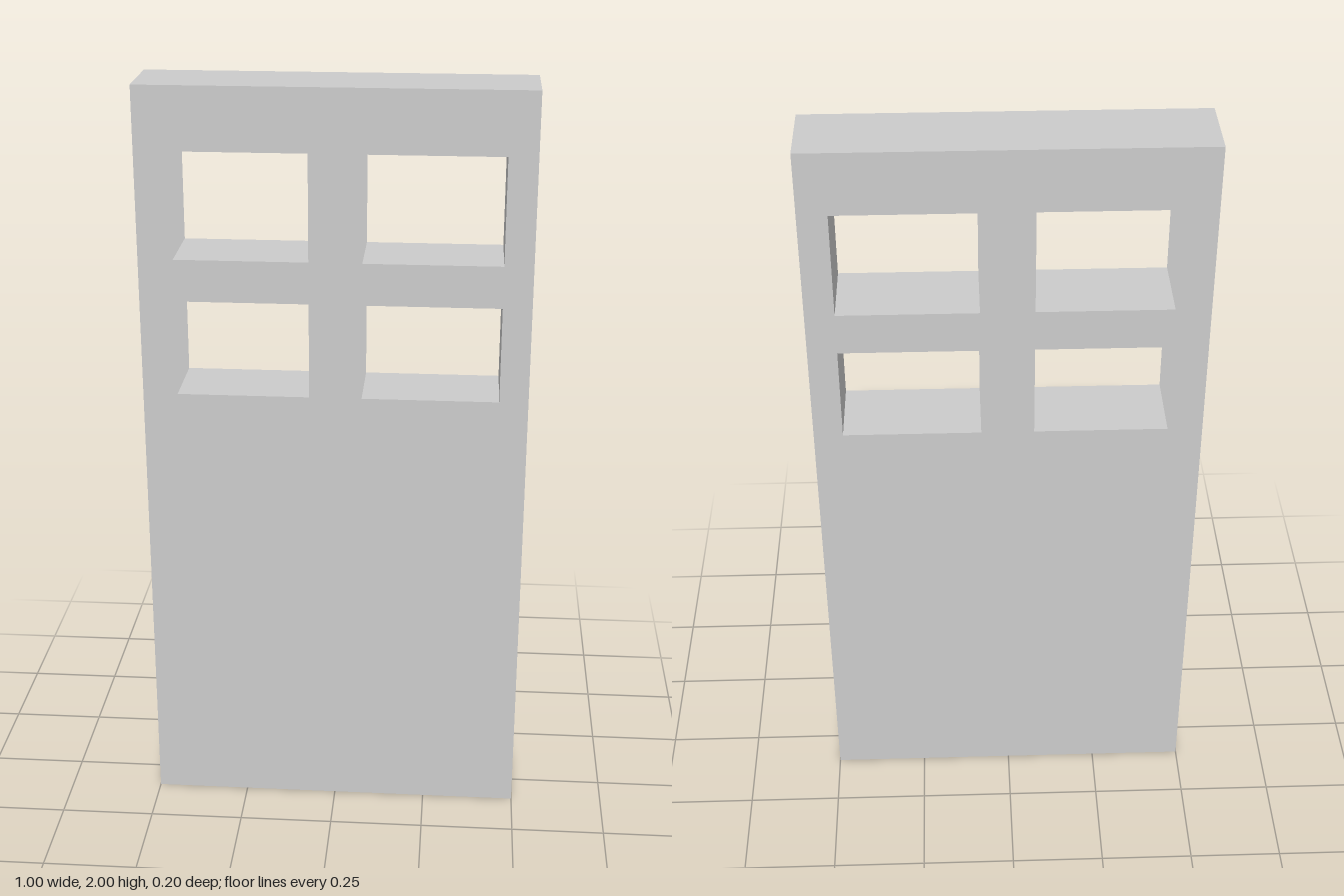
import * as THREE from 'three';

const W = 1, H = 2, D = 0.2;
const columns = [[-0.41, -0.066], [0.07, 0.425]];
const rows = [[1.198, 1.45], [1.56, 1.837]];
const windows = columns.flatMap(([x0, x1]) => rows.map(([y0, y1]) => ({ x0, x1, y0, y1 })));

const rectangle = (Type, x0, x1, y0, y1) => new Type([
  new THREE.Vector2(x0, y0), new THREE.Vector2(x1, y0),
  new THREE.Vector2(x1, y1), new THREE.Vector2(x0, y1),
]);

// Door face with the four window openings; the back one is mirrored, then turned round
function panel(back) {
  const shape = rectangle(THREE.Shape, -W / 2, W / 2, 0, H);
  for (const { x0, x1, y0, y1 } of windows) {
    shape.holes.push(back ? rectangle(THREE.Path, -x1, -x0, y0, y1) : rectangle(THREE.Path, x0, x1, y0, y1));
  }
  const geometry = new THREE.ShapeGeometry(shape).translate(0, 0, D / 2);
  return back ? geometry.rotateY(Math.PI) : geometry;
}

// Strips as deep as the door; dir is the way they face along y or x
const level = (x0, x1, y, dir) => new THREE.PlaneGeometry(x1 - x0, D)
  .rotateX(-dir * Math.PI / 2).translate((x0 + x1) / 2, y, 0);
const upright = (y0, y1, x, dir) => new THREE.PlaneGeometry(D, y1 - y0)
  .rotateY(dir * Math.PI / 2).translate(x, (y0 + y1) / 2, 0);

export function createModel() {
  const door = new THREE.Group();
  door.name = 'door';
  const material = new THREE.MeshStandardMaterial({ color: 0xcccccc, side: THREE.DoubleSide });
  const add = (parent, name, geometry) => {
    const mesh = new THREE.Mesh(geometry, material);
    mesh.name = name;
    parent.add(mesh);
  };

  // Hollow slab
  add(door, 'frontPanel', panel(false));
  add(door, 'backPanel', panel(true));
  add(door, 'topEdge', level(-W / 2, W / 2, H, 1));
  add(door, 'bottomEdge', level(-W / 2, W / 2, 0, -1));
  add(door, 'leftEdge', upright(0, H, W / 2, 1));
  add(door, 'rightEdge', upright(0, H, -W / 2, -1));

  // Window linings, open into the hollow slab on the -x side
  for (const { x0, x1, y0, y1 } of windows) {
    const lining = new THREE.Group();
    lining.name = 'windowLining';
    add(lining, 'sill', level(x0, x1, y0, 1));
    add(lining, 'head', level(x0, x1, y1, -1));
    add(lining, 'jamb', upright(y0, y1, x1, -1));
    door.add(lining);
  }
  return door;
}
